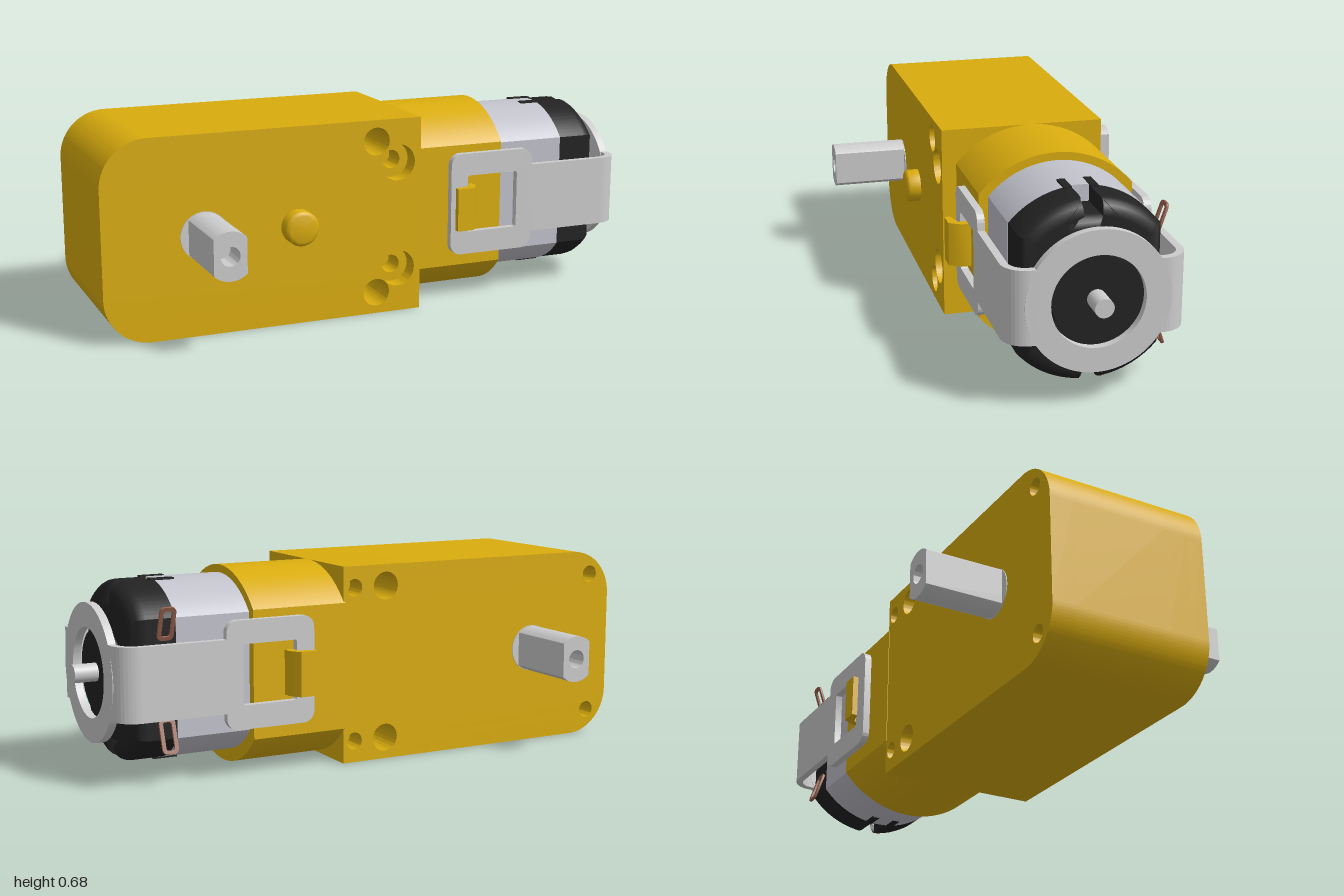
import * as THREE from 'three';
import { toCreasedNormals } from 'three/addons/utils/BufferGeometryUtils.js';

const mat = (name, color, side = THREE.FrontSide) => {
  const m = new THREE.MeshStandardMaterial({ color, side });
  m.name = name;
  return m;
};

// Extrusion with smooth curves and sharp edges
const extrude = (shape, depth, opts = {}) =>
  toCreasedNormals(new THREE.ExtrudeGeometry(shape, { depth, bevelEnabled: false, curveSegments: 24, ...opts }), 0.6);

const circle = (x, y, r) => new THREE.Path().absarc(x, y, r, 0, Math.PI * 2, true);

// Circle with two side flats at +-w, optionally notched at top and bottom
function flattedCircle(r, w, notchHalf = 0, notchDepth = 0) {
  const s = new THREE.Shape();
  const a = Math.acos(w / r);
  const d = Math.asin(notchHalf / r);
  for (const k of [0, 1]) {
    const b = k * Math.PI, sign = k ? -1 : 1;
    if (!notchHalf) {
      s.absarc(0, 0, r, b + a, b + Math.PI - a, false);
      continue;
    }
    s.absarc(0, 0, r, b + a, b + Math.PI / 2 - d, false);
    s.lineTo(sign * notchHalf, sign * (r - notchDepth));
    s.lineTo(-sign * notchHalf, sign * (r - notchDepth));
    s.absarc(0, 0, r, b + Math.PI / 2 + d, b + Math.PI - a, false);
  }
  return s;
}

// Rectangle with a radius for the left and for the right corners
function roundRect(x0, y0, x1, y1, rl, rr) {
  const s = new THREE.Shape(), q = Math.PI / 2;
  const corner = (x, y, r, a) => (r ? s.absarc(x, y, r, a, a + q, false) : s.lineTo(x, y));
  s.moveTo(x0 + rl, y0);
  corner(x1 - rr, y0 + rr, rr, -q);
  corner(x1 - rr, y1 - rr, rr, 0);
  corner(x0 + rl, y1 - rl, rl, q);
  corner(x0 + rl, y0 + rl, rl, 2 * q);
  return s;
}

export function createModel() {
  const model = new THREE.Group();
  const yellow = mat('yellow plastic', 0xd9ac0e);
  const black = mat('black plastic', 0x222222);
  const can = mat('motor can silver', 0xc2c2cc);
  const steel = mat('light grey metal', 0xcccccc);
  const copper = mat('copper', 0x98634f);

  const add = (name, geo, material, parent = model) => {
    const m = new THREE.Mesh(geo, material);
    m.name = name;
    parent.add(m);
    return m;
  };
  const CY = 0.353, CZ = -0.026, BY = 0.344; // motor axis and gearbox middle
  const alongX = (geo, x, y = CY) => geo.rotateY(Math.PI / 2).translate(x, y, CZ);
  const cylX = (r, x0, x1) =>
    new THREE.CylinderGeometry(r, r, x1 - x0, 40).rotateZ(-Math.PI / 2).translate((x0 + x1) / 2, CY, CZ);
  const cylZ = (r, x, z0, z1) =>
    new THREE.CylinderGeometry(r, r, z1 - z0, 40).rotateX(Math.PI / 2).translate(x, BY, (z0 + z1) / 2);

  // Gearbox in layers, so the screw holes can be blind and stepped
  const mirrored = (x, dy, r) => [circle(x, BY + dy, r), circle(x, BY - dy, r)];
  const layers = [
    ['gearboxBack', -0.286, -0.2, [...mirrored(0.083, 0.267, 0.03), ...mirrored(-0.915, 0.257, 0.03)]],
    ['gearboxMiddle', -0.2, 0.14, []],
    ['gearboxScrewLayer', 0.14, 0.226, mirrored(0.04, 0.188, 0.032)],
    ['gearboxFront', 0.226, 0.286, mirrored(0.04, 0.188, 0.063)],
  ];
  for (const [name, z0, z1, holes] of layers) {
    const s = roundRect(-1, 0.002, 0.125, 0.685, 0.16, 0);
    s.holes.push(...mirrored(-0.04, 0.267, 0.048), ...holes);
    add(name, extrude(s, z1 - z0).translate(0, 0, z0), yellow);
  }

  // Locating peg with a rounded rim
  const peg = [[0, 0], [0.06, 0], [0.06, 0.042], [0.055, 0.05], [0.046, 0.053], [0, 0.053]];
  add('locatingPeg', toCreasedNormals(
    new THREE.LatheGeometry(peg.map(p => new THREE.Vector2(...p)), 32), 0.7)
    .rotateX(Math.PI / 2).translate(-0.328, BY, 0.284), yellow);

  // Output axle with two flats and drilled ends
  const axle = flattedCircle(0.081, 0.055);
  axle.holes.push(circle(0, 0, 0.032));
  add('outputAxle', extrude(axle, 1.116).translate(-0.655, BY, -0.558), steel);
  add('axleCore', cylZ(0.045, -0.655, -0.46, 0.46), steel);
  add('axleCollar', cylZ(0.083, -0.655, -0.289, 0.289), steel);

  // Neck, motor can and end cap
  add('motorNeck', alongX(extrude(flattedCircle(0.341, 0.262), 0.345), 0.12, BY), yellow);
  add('motorCan', alongX(extrude(flattedCircle(0.305, 0.231), 0.325), 0.4), can);
  add('endCap', alongX(extrude(flattedCircle(0.304, 0.23, 0.03, 0.055), 0.105, {
    bevelEnabled: true, bevelSize: 0.05, bevelOffset: -0.05, bevelThickness: 0.05, bevelSegments: 5,
  }), 0.72), black);
  add('capBoss', cylX(0.142, 0.86, 0.918), black);
  add('motorShaft', cylX(0.031, 0.85, 1), steel);
  for (const sy of [-1, 1]) for (const sz of [-1, 1]) {
    add('capFinger', new THREE.BoxGeometry(0.085, 0.03, 0.026)
      .translate(0.7, CY + sy * 0.291, CZ + sz * 0.043), black);
  }

  // Retaining strap: ring plus two bent arms with latch plates and hooks
  const ring = new THREE.Shape().absarc(0, 0, 0.234, 0, Math.PI * 2, false);
  ring.holes.push(circle(0, 0, 0.152));
  add('strapRing', alongX(extrude(ring, 0.027, { curveSegments: 56 }), 0.918), steel);

  const arm = new THREE.Shape();
  arm.moveTo(0.55, 0.268);
  arm.lineTo(0.865, 0.268);
  arm.absarc(0.865, 0.213, 0.055, Math.PI / 2, 0, true);
  arm.lineTo(0.92, 0.185);
  arm.lineTo(0.945, 0.185);
  arm.absarc(0.865, 0.213, 0.08, 0, Math.PI / 2, false);
  arm.lineTo(0.55, 0.293);
  const plate = roundRect(0.255, -0.181, 0.575, 0.183, 0.04, 0.04);
  plate.holes.push(roundRect(0.32, -0.1, 0.515, 0.104, 0.008, 0.008));
  const hook = new THREE.Shape([
    [0.35, 0.25], [0.35, 0.295], [0.325, 0.335], [0.262, 0.335], [0.262, 0.315], [0.32, 0.3], [0.32, 0.25],
  ].map(p => new THREE.Vector2(...p)));
  const upright = (shape, height) => extrude(shape, height).rotateX(Math.PI / 2).translate(0, height / 2, 0);

  for (const side of [1, -1]) {
    const g = new THREE.Group();
    g.name = side > 0 ? 'frontClip' : 'backClip';
    g.position.set(0, CY, CZ);
    g.scale.z = side;
    add('strapArm', upright(arm, 0.246), steel, g);
    add('latchPlate', extrude(plate, 0.025).translate(0, 0, 0.268), steel, g);
    add('latchHook', upright(hook, 0.152).translate(0, -0.008, 0), yellow, g);
    model.add(g);
  }

  // Copper terminal loops on the back of the cap
  const loop = roundRect(-0.028, 0, 0.028, 0.118, 0.018, 0.018);
  loop.holes.push(roundRect(-0.015, 0.013, 0.015, 0.105, 0.008, 0.008));
  for (const sy of [1, -1]) {
    const g = new THREE.Group();
    g.name = sy > 0 ? 'upperTerminal' : 'lowerTerminal';
    g.position.set(0.765, CY, CZ);
    g.scale.y = sy;
    add('terminalLoop', extrude(loop, 0.008).rotateX(-0.33).translate(0, 0.127, -0.236), copper, g);
    model.add(g);
  }
  return model;
}
